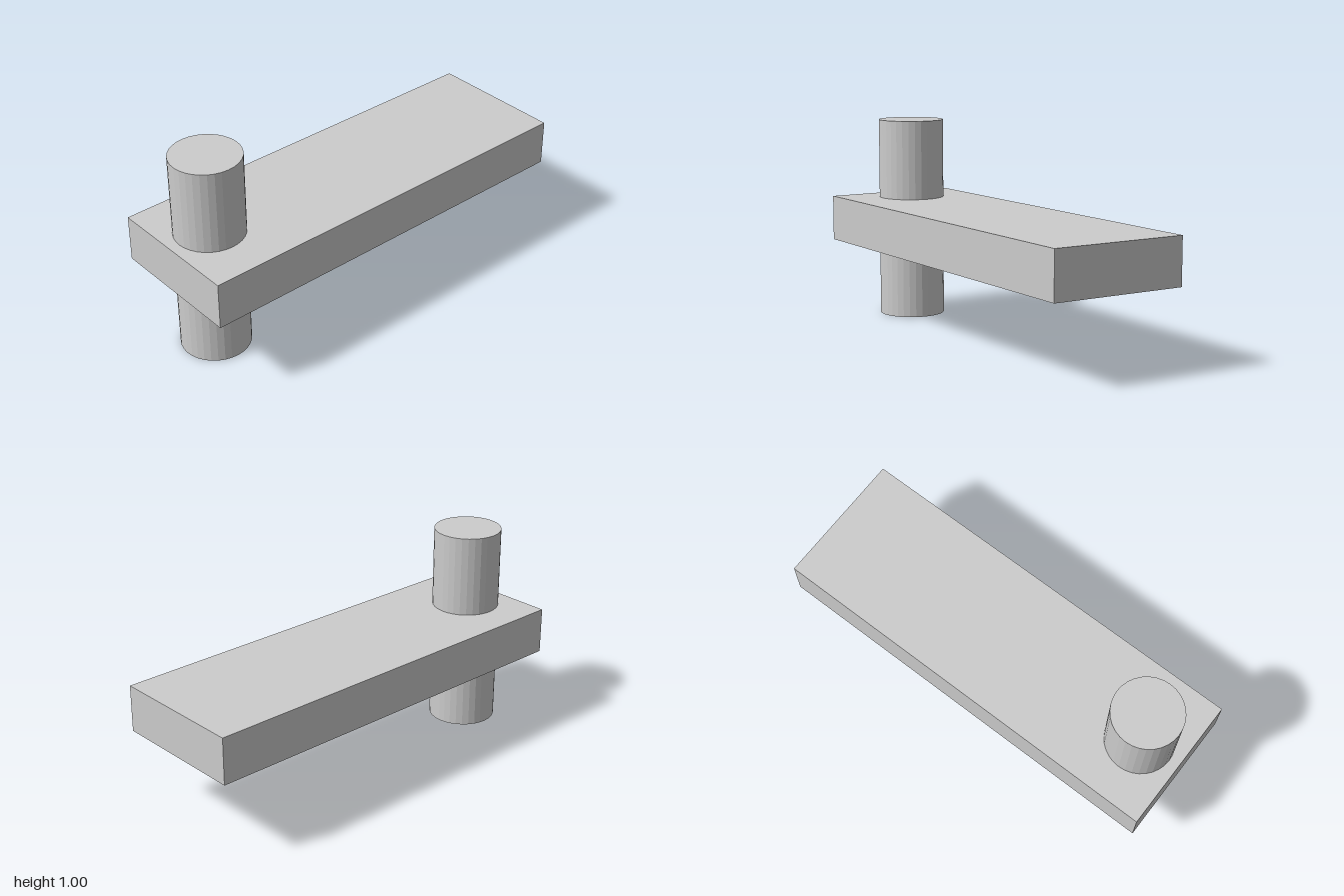
import * as THREE from 'three';

export function createModel() {
  const model = new THREE.Group();
  const grey = new THREE.MeshStandardMaterial({ color: 0xcccccc, flatShading: true });
  grey.name = 'light grey';

  const addPart = (name, geometry, x, y, z) => {
    const mesh = new THREE.Mesh(geometry, grey);
    mesh.name = name;
    mesh.position.set(x, y, z);
    model.add(mesh);
  };

  // Long flat arm
  addPart('arm', new THREE.BoxGeometry(0.664, 0.225, 2), 0, 0.4915, 0);

  // Upright pin passing through the front end of the arm
  addPart('pin', new THREE.CylinderGeometry(0.164, 0.164, 1, 32), -0.011, 0.5, 0.786);

  return model;
}
